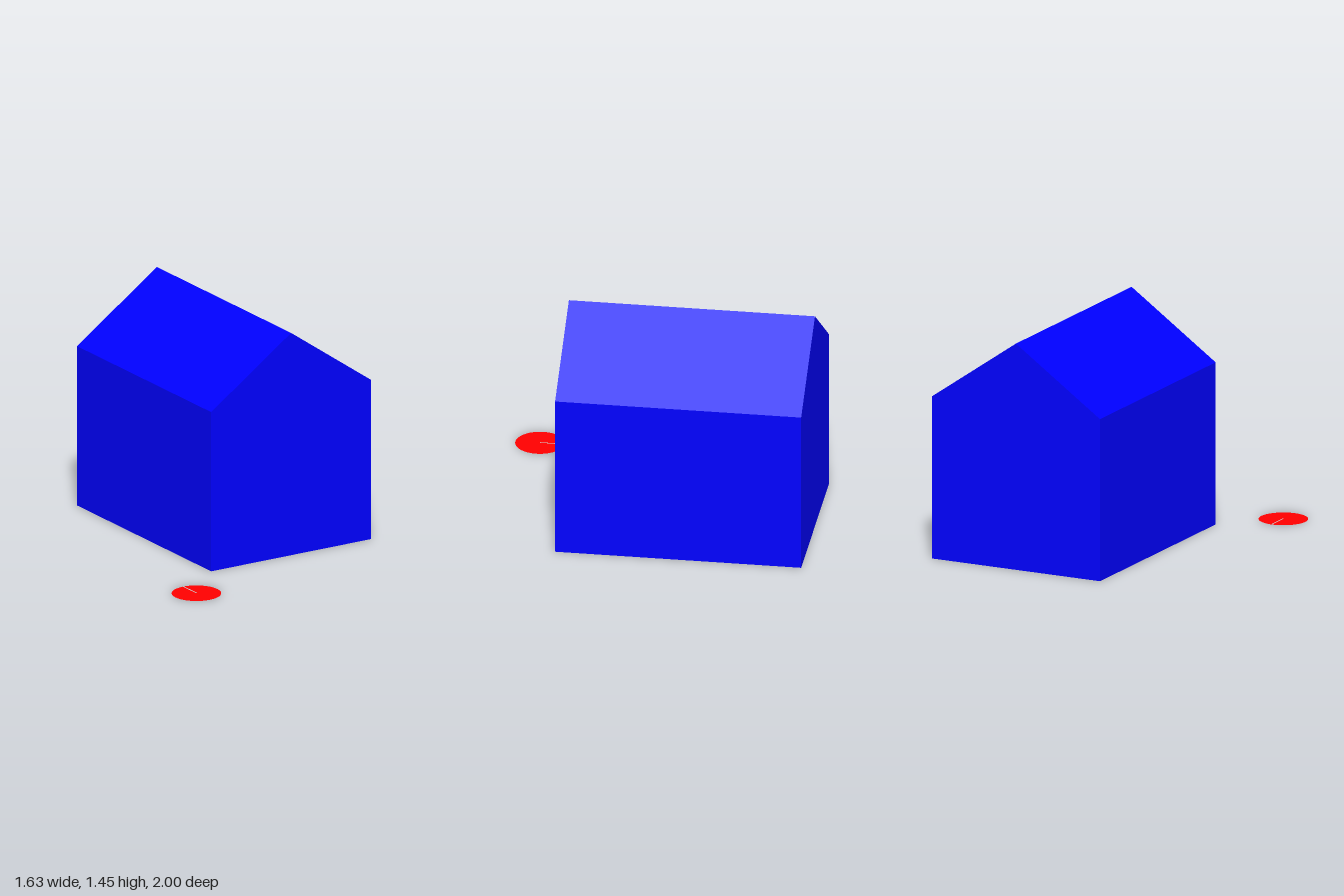
import * as THREE from 'three';

const flat = (color, side = THREE.FrontSide) =>
  new THREE.MeshStandardMaterial({ color, side, flatShading: true });

function add(parent, name, geometry, material) {
  const mesh = new THREE.Mesh(geometry, material);
  mesh.name = name;
  parent.add(mesh);
  return mesh;
}

export function createModel() {
  const model = new THREE.Group();
  model.name = 'houseAndMarker';

  // House: a gabled profile extruded from back to front
  const halfWidth = 0.586, eave = 1.035, ridge = 1.445, depth = 1.535;
  const gable = new THREE.Shape([
    new THREE.Vector2(-halfWidth, 0),
    new THREE.Vector2(halfWidth, 0),
    new THREE.Vector2(halfWidth, eave),
    new THREE.Vector2(0, ridge),
    new THREE.Vector2(-halfWidth, eave),
  ]);
  const house = add(model, 'house',
    new THREE.ExtrudeGeometry(gable, { depth, bevelEnabled: false }), flat(0x0000ff));
  house.position.set(0.229, 0, -1);

  // Round marker lying on the ground, with a pointer towards the back
  const marker = new THREE.Group();
  marker.name = 'marker';
  marker.position.set(-0.665, 0, 0.847);
  model.add(marker);

  const radius = 0.153;
  add(marker, 'disc', new THREE.CircleGeometry(radius, 64).rotateX(-Math.PI / 2),
    flat(0xff0000, THREE.DoubleSide));
  add(marker, 'pointer',
    new THREE.PlaneGeometry(0.008, radius).rotateX(-Math.PI / 2).translate(0, 0.002, -radius / 2),
    flat(0xcccccc));

  return model;
}
